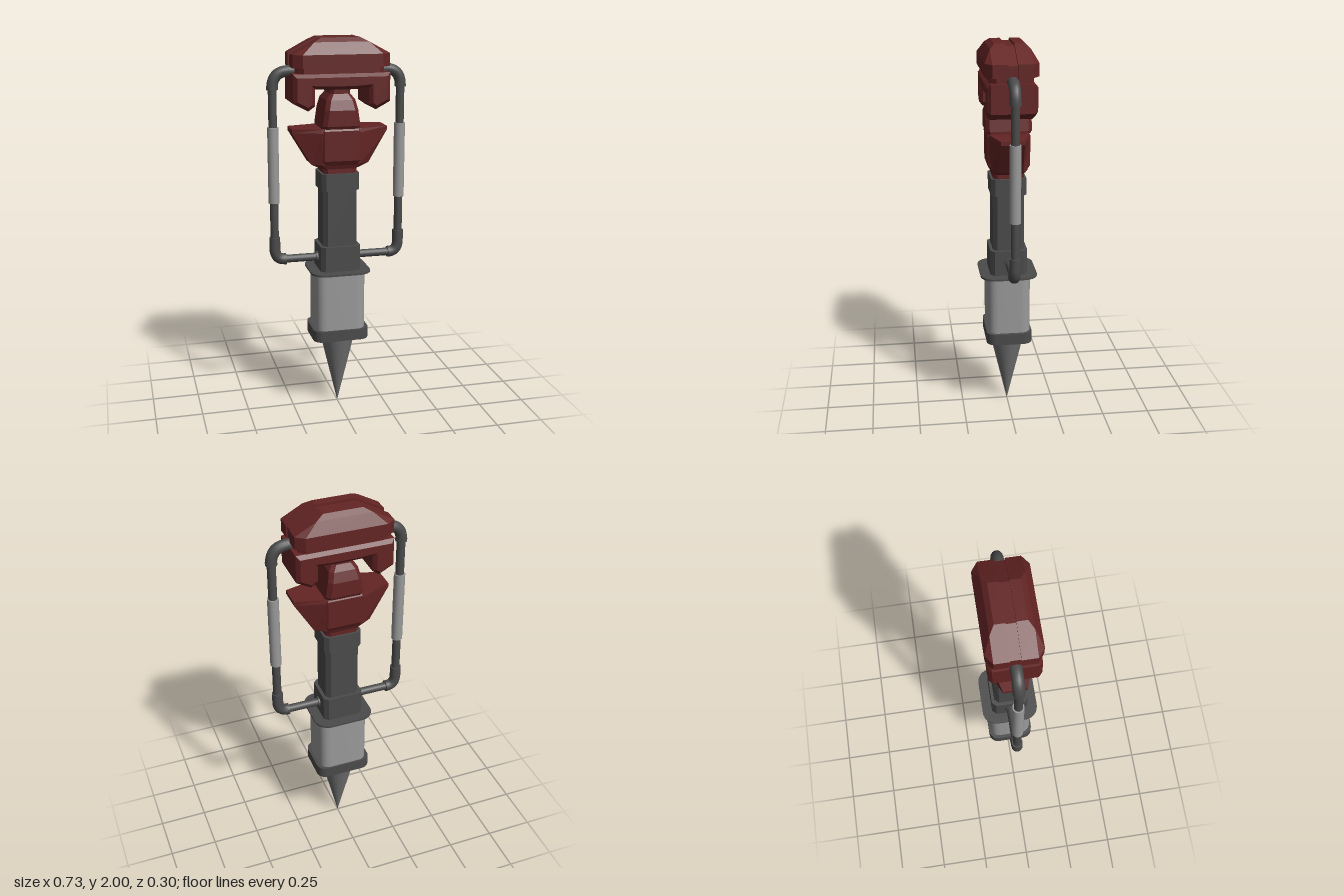
import * as THREE from 'three';
import { toCreasedNormals } from 'three/addons/utils/BufferGeometryUtils.js';

const mat = (name, color) => Object.assign(new THREE.MeshStandardMaterial({ color }), { name });

// Flat-faced loft: each level is [y, [[x, z], ...]], points running from +x to +z
function loft(levels) {
  const v = [];
  const tri = (...ps) => ps.forEach(p => v.push(...p));
  const rings = levels.map(([y, pts]) => pts.map(([x, z]) => [x, y, z]));
  const n = rings[0].length;
  const centre = r => [0, 1, 2].map(k => r.reduce((s, p) => s + p[k], 0) / n);
  const lo = rings[0], hi = rings[rings.length - 1];
  for (let j = 0; j < n; j++) {
    const k = (j + 1) % n;
    for (let i = 0; i < rings.length - 1; i++) {
      const a = rings[i][j], b = rings[i][k], A = rings[i + 1][j], B = rings[i + 1][k];
      tri(a, A, b);
      tri(b, A, B);
    }
    tri(centre(lo), lo[j], lo[k]);
    tri(centre(hi), hi[k], hi[j]);
  }
  const g = new THREE.BufferGeometry();
  g.setAttribute('position', new THREE.Float32BufferAttribute(v, 3));
  g.computeVertexNormals();
  return g;
}

// Octagon with half sizes w, d and corner cuts cx, cz
const octagon = (w, d, cx, cz = cx) => [
  [w, d - cz], [w - cx, d], [cx - w, d], [-w, d - cz],
  [-w, cz - d], [cx - w, -d], [w - cx, -d], [w, cz - d]];

// Upright block with rounded vertical corners
function roundedBlock(w, d, r, y0, y1) {
  const s = new THREE.Shape();
  s.absarc(w - r, d - r, r, 0, Math.PI / 2);
  s.absarc(r - w, d - r, r, Math.PI / 2, Math.PI);
  s.absarc(r - w, r - d, r, Math.PI, Math.PI * 1.5);
  s.absarc(w - r, r - d, r, Math.PI * 1.5, Math.PI * 2);
  const g = new THREE.ExtrudeGeometry(s, { depth: y1 - y0, bevelEnabled: false, curveSegments: 5 });
  return toCreasedNormals(g.rotateX(-Math.PI / 2).translate(0, y0, 0), 0.6);
}

// Front outline extruded through z, optionally with chamfered edges
function slab(points, halfDepth, bevel = 0) {
  const s = new THREE.Shape(points.map(p => new THREE.Vector2(...p)));
  return new THREE.ExtrudeGeometry(s, {
    depth: 2 * (halfDepth - bevel), bevelEnabled: bevel > 0, bevelSegments: 1,
    bevelSize: bevel, bevelThickness: bevel, bevelOffset: -bevel,
  }).translate(0, 0, bevel - halfDepth);
}

const mirrored = half => [...half, ...half.slice().reverse().map(([x, y]) => [-x, y])];

export function createModel() {
  const red = mat('dark red paint', 0x642424);
  const dark = mat('dark grey metal', 0x4b4b4b);
  const light = mat('light grey metal', 0x9a9a9a);
  const steel = mat('spike steel', 0x727272);
  const model = new THREE.Group();
  const add = (name, geo, material, parent = model) => {
    const m = new THREE.Mesh(geo, material);
    m.name = name;
    parent.add(m);
    return m;
  };

  // Spike
  add('spike', new THREE.ConeGeometry(0.094, 0.4, 32).rotateX(Math.PI).translate(0, 0.2, 0), steel);

  // Lower housing and shaft
  add('lowerCollar', roundedBlock(0.15, 0.122, 0.05, 0.4, 0.46), dark);
  add('housing', roundedBlock(0.133, 0.113, 0.05, 0.45, 0.778), light);
  add('flange', roundedBlock(0.16, 0.15, 0.075, 0.775, 0.785), dark);
  add('shaftBase', loft([
    [0.78, octagon(0.107, 0.098, 0.022)], [0.92, octagon(0.107, 0.098, 0.022)]]), dark);
  add('shaft', loft([
    [0.91, octagon(0.09, 0.082, 0.022)], [1.23, octagon(0.09, 0.082, 0.022)]]), dark);
  add('upperCollar', loft([
    [1.22, octagon(0.1, 0.092, 0.022)], [1.31, octagon(0.1, 0.092, 0.022)]]), dark);

  // Flared engine body with tapering wings
  add('bodyFoot', loft([
    [1.3, octagon(0.088, 0.08, 0.02)], [1.37, octagon(0.088, 0.08, 0.02)]]), red);
  add('wings', loft([
    [1.335, octagon(0.1, 0.085, 0.03)],
    [1.36, octagon(0.15, 0.095, 0.05, 0.03)],
    [1.525, octagon(0.25, 0.104, 0.15, 0.045)],
    [1.545, octagon(0.25, 0.1, 0.15, 0.04)]]), red);
  add('bodyPanel', loft([
    [1.35, octagon(0.09, 0.09, 0.01)],
    [1.38, octagon(0.1, 0.108, 0.01)],
    [1.535, octagon(0.1, 0.11, 0.01)],
    [1.55, octagon(0.096, 0.1, 0.01)]]), red);

  // Neck between body and head
  add('neck', loft([
    [1.545, octagon(0.098, 0.11, 0.02)],
    [1.56, octagon(0.098, 0.118, 0.02)],
    [1.64, octagon(0.086, 0.118, 0.02)],
    [1.69, octagon(0.075, 0.1, 0.02)],
    [1.72, octagon(0.052, 0.08, 0.015)],
    [1.8, octagon(0.052, 0.08, 0.015)]]), red);

  // Head: lower part with hanging legs, groove, and a two-part cap
  add('headLegs', slab(mirrored([
    [0.07, 1.745], [0.14, 1.75], [0.14, 1.665], [0.175, 1.64], [0.25, 1.68], [0.25, 1.825],
  ]), 0.125, 0.018), red);
  add('headGroove', loft([
    [1.8, octagon(0.225, 0.108, 0.03)], [1.87, octagon(0.225, 0.108, 0.03)]]), red);
  const capHalf = (w, d, cx, cz) => [
    [w, 0.024], [w, d - cz], [w - cx, d], [cx - w, d], [-w, d - cz], [-w, 0.024]];
  for (const [name, turn] of [['frontCap', 0], ['backCap', Math.PI]]) {
    add(name, loft([
      [1.855, capHalf(0.25, 0.133, 0.045, 0.033)],
      [1.92, capHalf(0.25, 0.133, 0.045, 0.033)],
      [1.979, capHalf(0.14, 0.1, 0, 0)],
      [2.0, capHalf(0.1, 0.075, 0, 0)]]), red).rotation.y = turn;
  }
  add('capStrip', slab(mirrored([[0.243, 1.855], [0.243, 1.912], [0.1, 1.988]]), 0.0245), red);

  // Side handles
  const V = (x, y) => new THREE.Vector3(x, y, 0);
  const pipeX = 0.337;
  const bend = (a, corner, b) => new THREE.TubeGeometry(
    new THREE.QuadraticBezierCurve3(V(...a), V(...corner), V(...b)), 14, 0.029, 14);
  const rod = (x, y0, y1, r) =>
    new THREE.CylinderGeometry(r, r, y1 - y0, 16).translate(x, (y0 + y1) / 2, 0);
  const crossRod = (x0, x1, y, r) =>
    new THREE.CylinderGeometry(r, r, x1 - x0, 16).rotateZ(Math.PI / 2).translate((x0 + x1) / 2, y, 0);
  for (const [name, turn] of [['leftHandle', 0], ['rightHandle', Math.PI]]) {
    const handle = new THREE.Group();
    handle.name = name;
    handle.rotation.y = turn;
    model.add(handle);
    add('upperBend', bend([0.25, 1.833], [pipeX, 1.833], [pipeX, 1.745]), dark, handle);
    add('upperMount', crossRod(0.2, 0.255, 1.833, 0.029), dark, handle);
    add('upperBendRing', rod(pipeX, 1.74, 1.752, 0.03), dark, handle);
    add('pipe', rod(pipeX, 0.9, 1.76, 0.022), dark, handle);
    add('grip', rod(pipeX, 1.155, 1.55, 0.029), light, handle);
    add('lowerBendSleeve', rod(pipeX, 0.905, 0.968, 0.029), dark, handle);
    add('lowerBend', bend([pipeX, 0.91], [pipeX, 0.847], [0.285, 0.847]), dark, handle);
    add('lowerBendRing', crossRod(0.278, 0.29, 0.847, 0.03), dark, handle);
    add('lowerArm', crossRod(0.09, 0.29, 0.847, 0.021), dark, handle);
    add('lowerMount', crossRod(0.1, 0.117, 0.847, 0.029), dark, handle);
  }
  return model;
}
